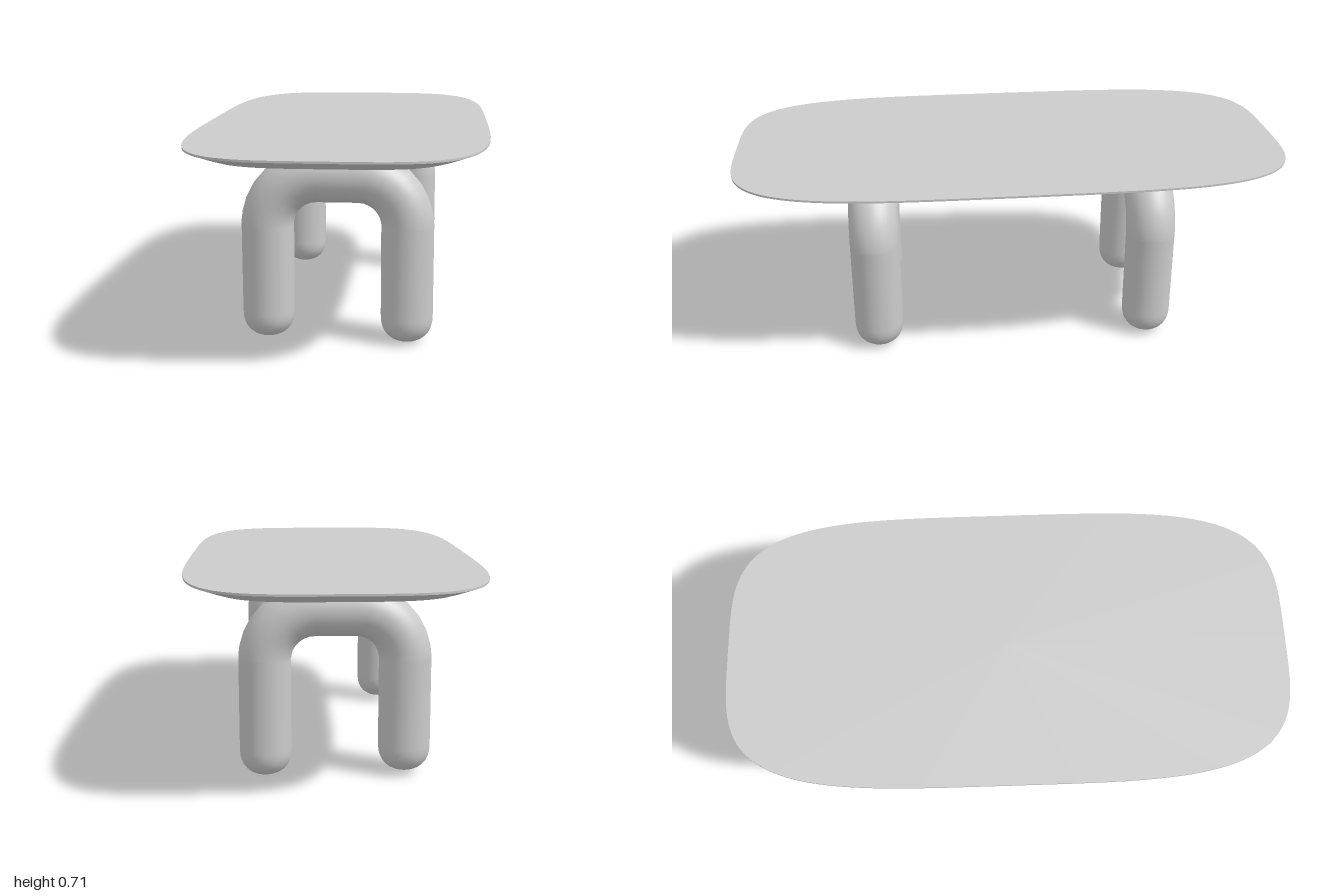
import * as THREE from 'three';
import { toCreasedNormals } from 'three/addons/utils/BufferGeometryUtils.js';

// Skin a stack of closed cross-sections, each an array of Vector3.
function loft(rings) {
  const n = rings[0].length;
  const index = [];
  for (let i = 0; i < rings.length - 1; i++) {
    for (let j = 0; j < n; j++) {
      const k = (j + 1) % n;
      const a = i * n + j, b = a + n, c = i * n + k, d = c + n;
      index.push(a, b, c, c, b, d);
    }
  }
  const geometry = new THREE.BufferGeometry().setFromPoints(rings.flat());
  geometry.setIndex(index);
  geometry.computeVertexNormals();
  return geometry;
}

// Sample a function of the angle around one ring.
const ring = (sides, point) =>
  Array.from({ length: sides }, (_, j) => point((j / sides) * Math.PI * 2));

// Squircle tabletop with a thin rim and a bevelled underside.
function tableTopGeometry() {
  const halfX = 0.52, halfZ = 1;
  const root = (v) => Math.sign(v) * Math.sqrt(Math.abs(v));
  const section = (a, b, y) => ring(128, (t) =>
    new THREE.Vector3(a * root(Math.cos(t)), y, b * root(Math.sin(t))));
  const profile = [[0.12, 0.666], [0.095, 0.667], [0.075, 0.67], [0.055, 0.677],
    [0.03, 0.687], [0, 0.699], [0, 0.706]]; // inset, height
  const rings = [
    section(0, 0, 0.666),
    ...profile.map(([inset, y]) => section(halfX - inset, halfZ - inset, y)),
    section(0, 0, 0.706),
  ];
  return toCreasedNormals(loft(rings), 0.6);
}

// Fat tube bent into an upside-down U, with rounded feet.
function archLegGeometry() {
  const radius = 0.09, bend = 0.17, cx = 0.07, cy = 0.405;
  const section = (x, y, angle, r) => ring(36, (t) => new THREE.Vector3(
    x + r * Math.cos(t) * Math.cos(angle),
    y + r * Math.cos(t) * Math.sin(angle),
    r * Math.sin(t)));

  // Rounded foot, listed from the tip upwards.
  const foot = (x, floor) => Array.from({ length: 9 }, (_, i) => {
    const t = (i / 8) * Math.PI / 2;
    const r = radius * Math.sin(t) ** 0.85;
    return section(x, floor + radius * (1 - Math.cos(t) ** 0.85), x > 0 ? 0 : Math.PI, r);
  });

  const elbow = (side) => [0, 3.6, 11, 22, 34, 47, 61, 77, 90].map((degrees) => {
    const a = THREE.MathUtils.degToRad(degrees);
    return section(side * (cx + bend * Math.cos(a)), cy + bend * Math.sin(a),
      side > 0 ? a : Math.PI - a, radius);
  });

  return loft([
    ...foot(cx + bend, 0),
    ...elbow(1),
    ...elbow(-1).reverse(),
    ...foot(-cx - bend, 0.01).reverse(),
  ]);
}

export function createModel() {
  const model = new THREE.Group();
  model.name = 'table';
  const material = new THREE.MeshStandardMaterial({ color: 0xcccccc });

  const top = new THREE.Mesh(tableTopGeometry(), material);
  top.name = 'tableTop';
  model.add(top);

  // One arch near each end
  const legGeometry = archLegGeometry();
  for (const [name, z] of [['frontLegArch', 0.51], ['backLegArch', -0.51]]) {
    const leg = new THREE.Mesh(legGeometry, material);
    leg.name = name;
    leg.position.z = z;
    model.add(leg);
  }
  return model;
}
